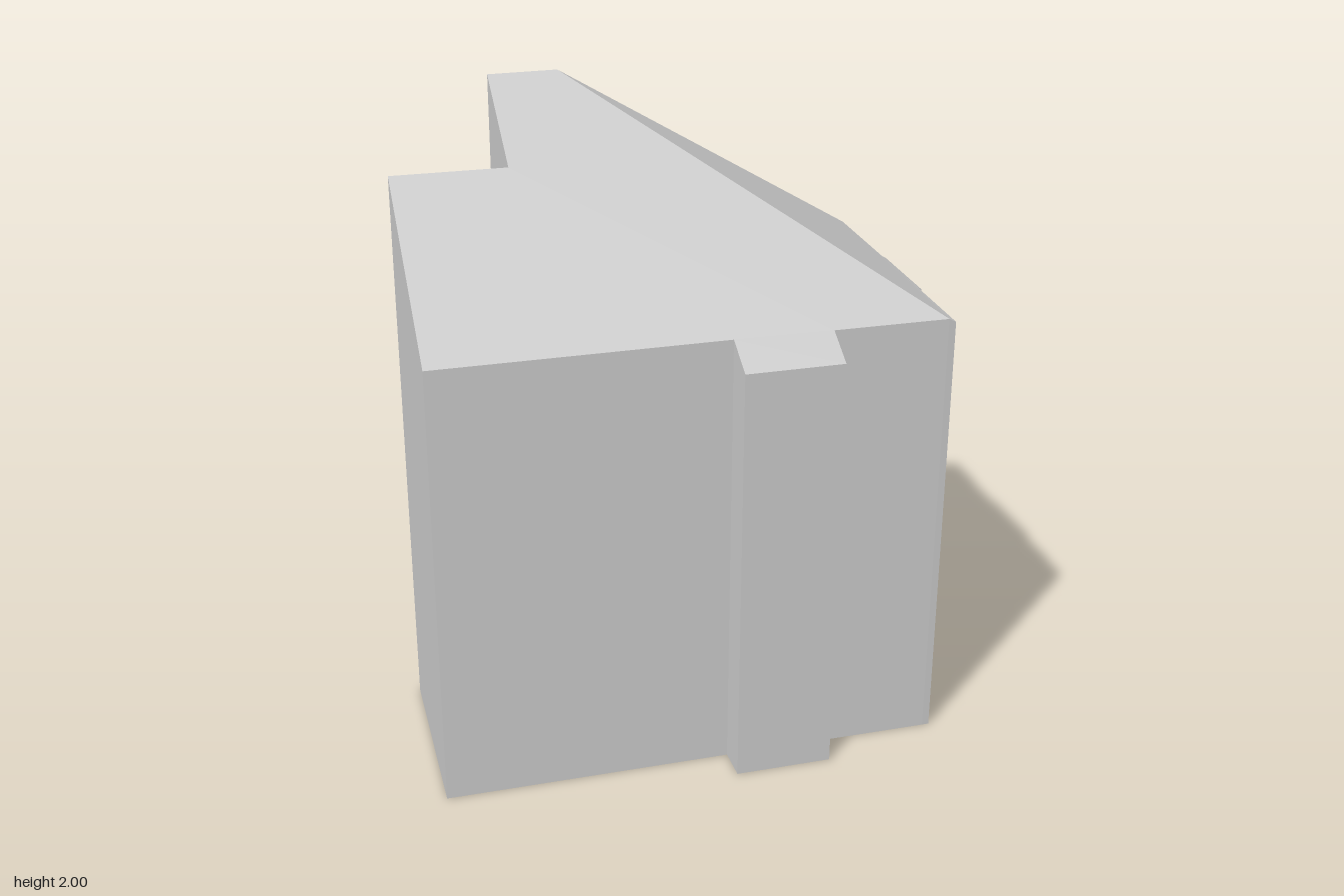
import * as THREE from 'three';

// Footprint corners (x, z), counterclockwise from above, starting at the front left
const outline = [
  [-0.87, 0.285], [0.015, 0.442], [-0.003, 0.55], [0.297, 0.603], [0.315, 0.498],
  [0.67, 0.562],                                  // 5: foot of the hip
  [0.692, 0.565], [0.752, 0.257], [0.766, 0.26],
  [0.82, -0.04], [0.806, -0.043], [0.867, -0.4],
  [-0.105, -0.57],                                // 12: peak of the hip
  [-0.327, -0.608], [-0.392, -0.27], [-0.75, -0.335],
];
const HIP_FOOT = 5, PEAK = 12;

// Roof slopes, in axes turned with the footprint
const c = Math.cos(0.175), s = Math.sin(0.175);
const mainSlope = ([x, z]) => 1.425 - 0.589 * (-s * x + c * z - 0.432);
const hipSlope = ([x, z]) => 2 - 0.6 * (c * x + s * z + 0.203);
const roofHeight = (p) => Math.min(2, mainSlope(p), hipSlope(p));

function geometryFrom(positions) {
  const g = new THREE.BufferGeometry();
  g.setAttribute('position', new THREE.Float32BufferAttribute(positions, 3));
  g.computeVertexNormals();
  return g;
}

// Fills a polygon of footprint points at the given height, facing up or down
function surface(points, height, down = false) {
  const flat = points.map(([x, z]) => new THREE.Vector2(x, -z));
  const positions = [];
  for (const tri of THREE.ShapeUtils.triangulateShape(flat, [])) {
    for (const i of down ? [...tri].reverse() : tri) {
      const p = points[i];
      positions.push(p[0], height(p), p[1]);
    }
  }
  return geometryFrom(positions);
}

// Upright faces from the ground to the roof edge
function walls() {
  const positions = [];
  outline.forEach((a, i) => {
    const b = outline[(i + 1) % outline.length];
    const a0 = [a[0], 0, a[1]], b0 = [b[0], 0, b[1]];
    const a1 = [a[0], roofHeight(a), a[1]], b1 = [b[0], roofHeight(b), b[1]];
    positions.push(...a0, ...b0, ...b1, ...a0, ...b1, ...a1);
  });
  return geometryFrom(positions);
}

export function createModel() {
  const grey = new THREE.MeshStandardMaterial({ color: 0xcccccc });
  grey.name = 'grey';
  const group = new THREE.Group();
  group.name = 'house';
  const add = (name, geometry) => {
    const mesh = new THREE.Mesh(geometry, grey);
    mesh.name = name;
    group.add(mesh);
  };

  add('walls', walls());
  add('mainRoof', surface([...outline.slice(0, HIP_FOOT + 1), ...outline.slice(PEAK)], roofHeight));
  add('hipRoof', surface(outline.slice(HIP_FOOT, PEAK + 1), roofHeight));
  add('floor', surface(outline, () => 0, true));
  return group;
}
